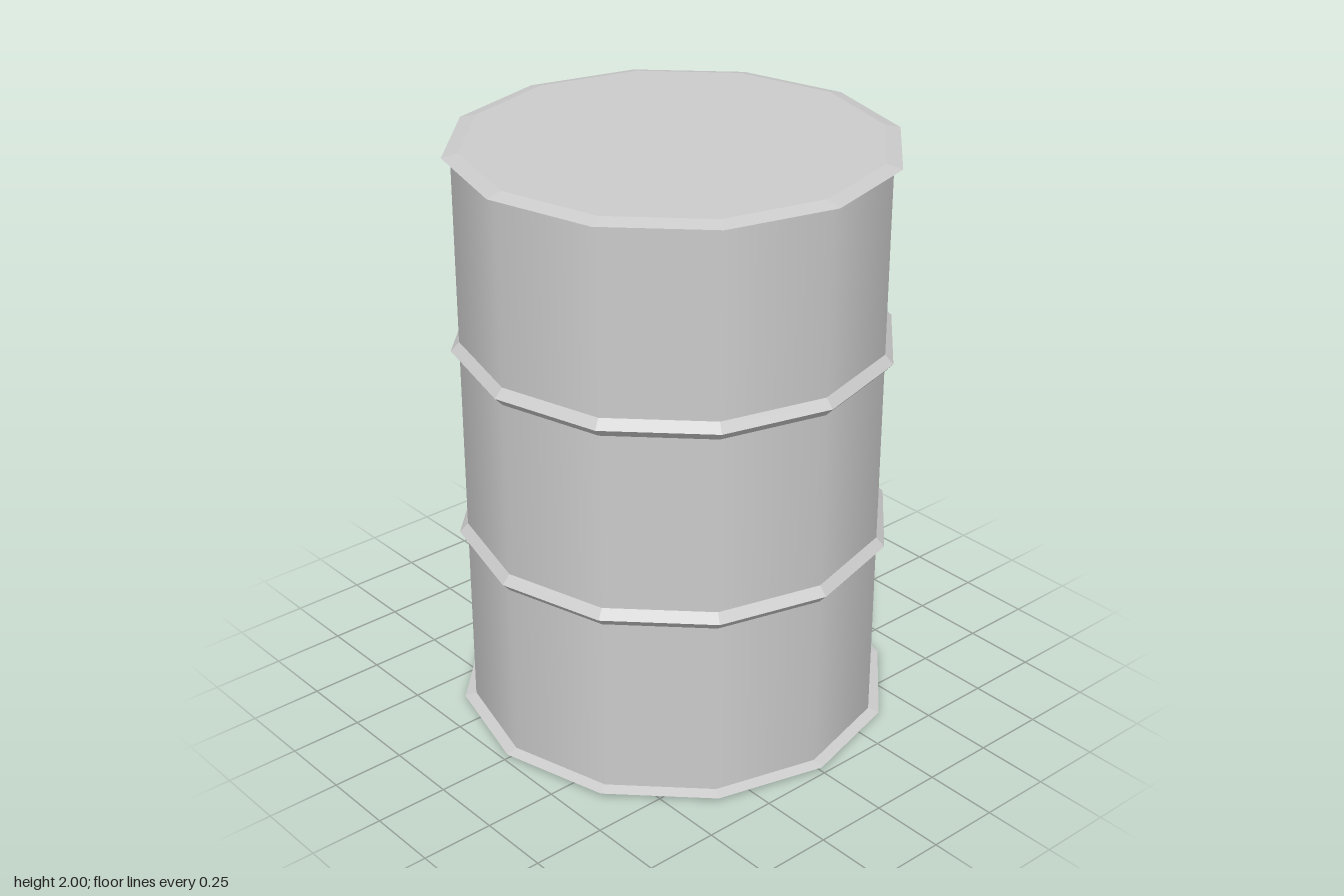
import * as THREE from 'three';

const SIDES = 12;
const WALL_R = 0.7;

export function createModel() {
  const group = new THREE.Group();
  const smooth = new THREE.MeshStandardMaterial({ color: 0xcccccc });
  const flat = new THREE.MeshStandardMaterial({ color: 0xcccccc, flatShading: true });

  // Revolve a [radius, y] profile, listed from bottom to top
  const addRing = (name, profile) => {
    const points = profile.map(([r, y]) => new THREE.Vector2(r, y));
    const mesh = new THREE.Mesh(new THREE.LatheGeometry(points, SIDES), flat);
    mesh.name = name;
    group.add(mesh);
  };

  // Smooth wall sections between the rims and hoops
  const addWall = (name, y0, y1) => {
    const mesh = new THREE.Mesh(
      new THREE.CylinderGeometry(WALL_R, WALL_R, y1 - y0, SIDES, 1, true), smooth);
    mesh.position.y = (y0 + y1) / 2;
    mesh.name = name;
    group.add(mesh);
  };
  addWall('lowerWall', 0.025, 0.64);
  addWall('middleWall', 0.7, 1.305);
  addWall('upperWall', 1.365, 1.98);

  // Ridged hoops around the body
  const addHoop = (name, y) =>
    addRing(name, [[WALL_R, y - 0.03], [0.728, y], [WALL_R, y + 0.03]]);
  addHoop('lowerHoop', 0.67);
  addHoop('upperHoop', 1.335);

  // Closed ends with bevelled rims; the bottom rim is slightly wider
  addRing('bottomEnd', [[0, 0], [0.675, 0], [0.738, 0.015], [WALL_R, 0.025]]);
  addRing('topEnd', [[WALL_R, 1.98], [0.728, 1.987], [0.675, 2], [0, 2]]);

  return group;
}
